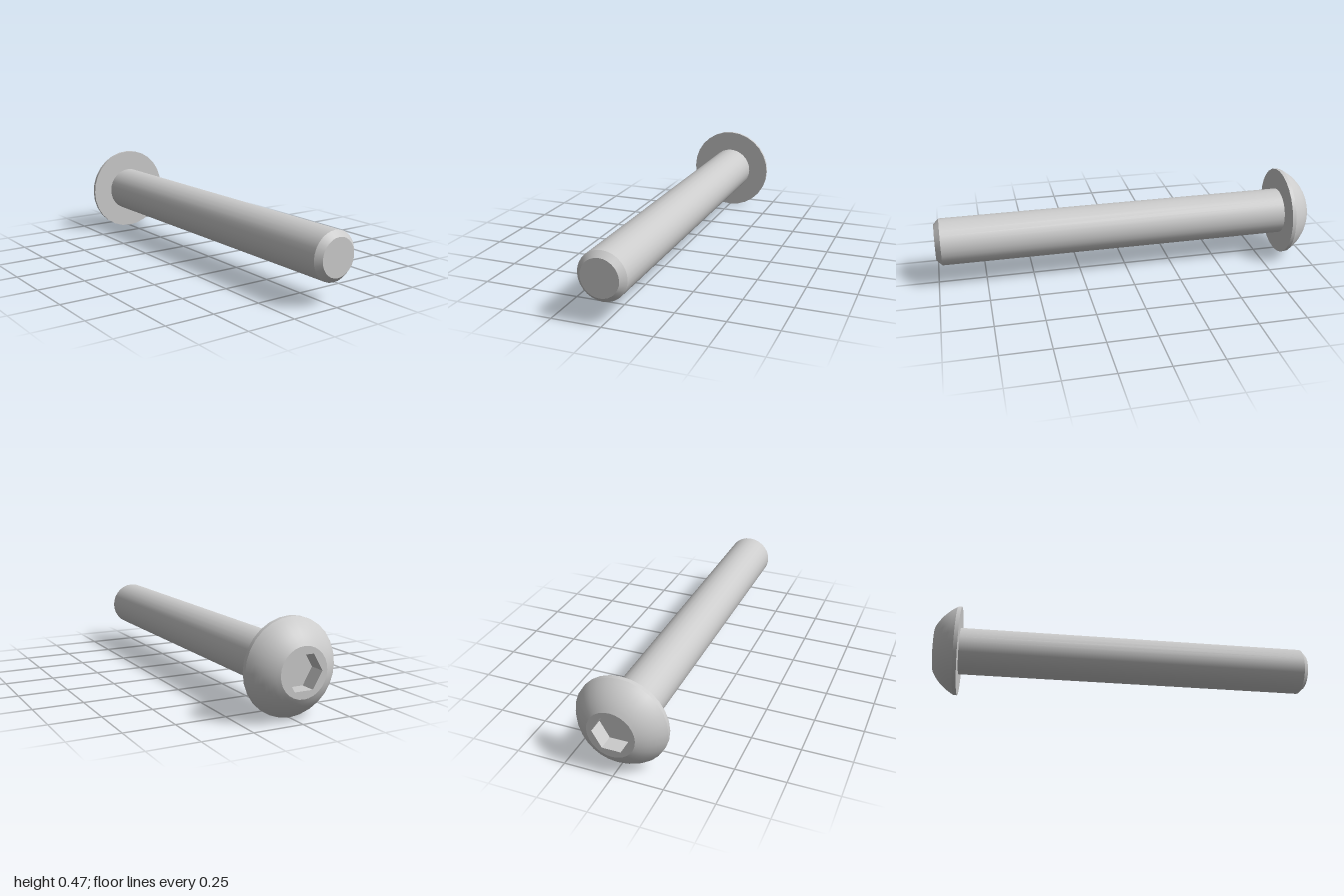
import * as THREE from 'three';

const SEGMENTS = 28;
const HEAD_R = 0.233, FACE_R = 0.12, SHAFT_R = 0.122, TIP_R = 0.095, HEX_R = 0.094;
const SOCKET_DEPTH = 0.08;

export function createModel() {
  const model = new THREE.Group();
  model.name = 'buttonHeadScrew';
  const material = new THREE.MeshStandardMaterial({ color: 0xcccccc });

  // The screw is turned around local y, then laid along x.
  const screw = new THREE.Group();
  screw.name = 'screw';
  screw.rotation.z = -Math.PI / 2;
  screw.position.y = HEAD_R;
  model.add(screw);

  const add = (name, geometry, mat = material) => {
    const mesh = new THREE.Mesh(geometry, mat);
    mesh.name = name;
    screw.add(mesh);
    return mesh;
  };
  // Each band is its own lathe, so the edges between bands stay sharp.
  const band = (name, points) =>
    add(name, new THREE.LatheGeometry(points.map(([r, y]) => new THREE.Vector2(r, y)), SEGMENTS));

  // Domed head: an arc of a sphere centred on the axis
  const start = -1, end = -0.89, centre = -0.766;
  const sphereR = Math.hypot(start - centre, FACE_R);
  const a0 = Math.atan2(FACE_R, start - centre);
  const a1 = Math.acos((end - centre) / sphereR);
  const dome = [];
  for (let i = 0; i <= 8; i++) {
    const a = a0 + (a1 - a0) * i / 8;
    dome.push([sphereR * Math.sin(a), centre + sphereR * Math.cos(a)]);
  }
  band('headDome', dome);
  band('headRim', [[dome[8][0], end], [HEAD_R, -0.87]]);
  band('headUnderside', [[HEAD_R, -0.87], [SHAFT_R, -0.87]]);

  // Plain shaft with a chamfered tip
  band('shaft', [[SHAFT_R, -0.87], [SHAFT_R, 0.972]]);
  band('tipChamfer', [[SHAFT_R, 0.972], [TIP_R, 1]]);
  band('tipFace', [[TIP_R, 1], [0, 1]]);

  // Flat head face with a hexagonal opening
  const ring = (radius, count) => Array.from({ length: count }, (_, i) => {
    const a = Math.PI / 2 + i * 2 * Math.PI / count;
    return new THREE.Vector2(radius * Math.cos(a), radius * Math.sin(a));
  });
  const face = new THREE.Shape(ring(FACE_R, SEGMENTS));
  face.holes.push(new THREE.Path(ring(HEX_R, 6)));
  add('headFace', new THREE.ShapeGeometry(face).rotateX(Math.PI / 2)).position.y = -1;

  // Hexagonal socket: inward-facing walls and a floor
  const wallMaterial = new THREE.MeshStandardMaterial({
    color: 0xcccccc, flatShading: true, side: THREE.BackSide,
  });
  add('socketWalls', new THREE.CylinderGeometry(HEX_R, HEX_R, SOCKET_DEPTH, 6, 1, true), wallMaterial)
    .position.y = -1 + SOCKET_DEPTH / 2;
  add('socketFloor', new THREE.ShapeGeometry(new THREE.Shape(ring(HEX_R, 6))).rotateX(Math.PI / 2))
    .position.y = -1 + SOCKET_DEPTH;

  return model;
}
